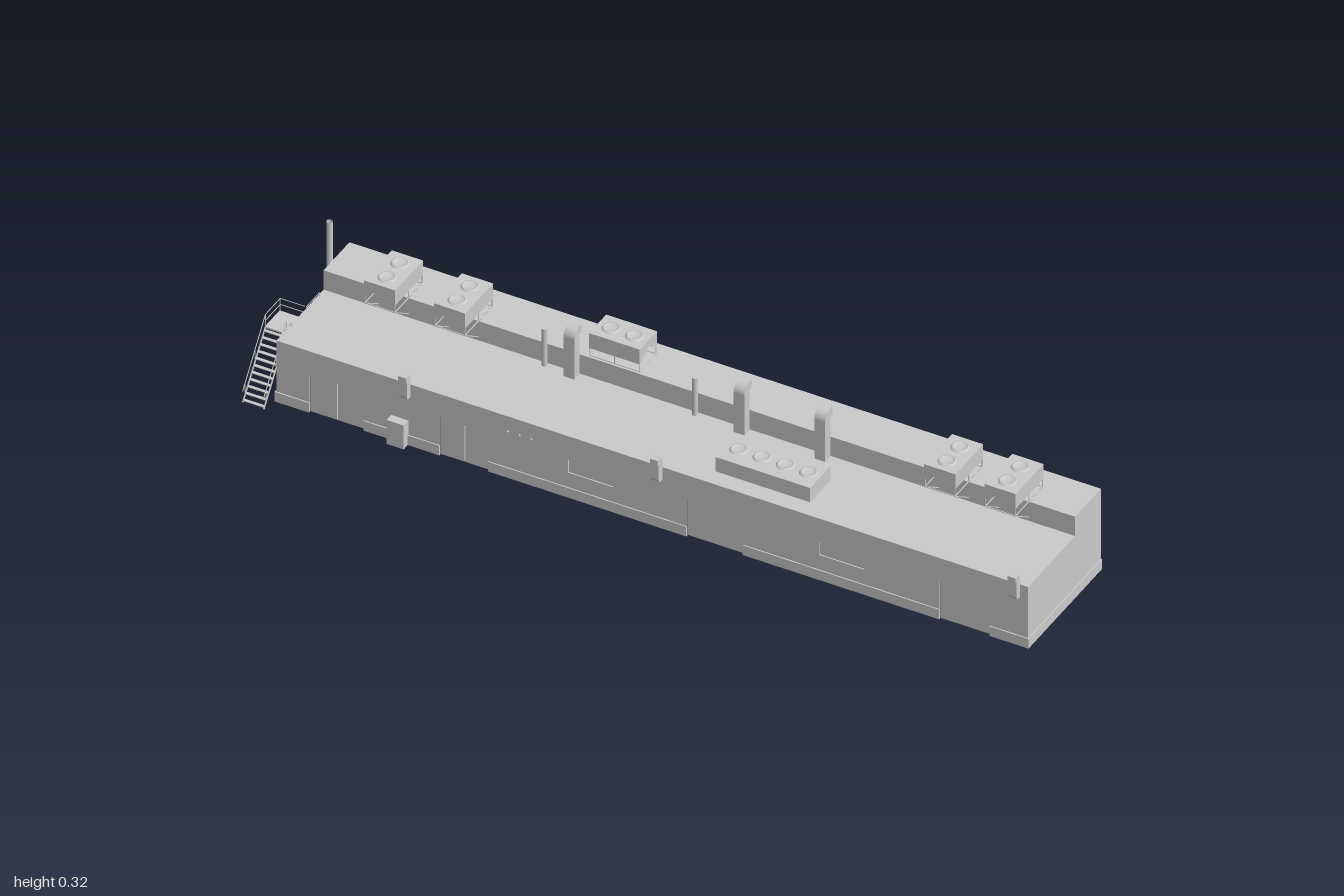
import * as THREE from 'three';

const mat = new THREE.MeshStandardMaterial({ color: 0xcccccc, side: THREE.DoubleSide });
const X0 = -0.935, X1 = 0.997, MID = (X0 + X1) / 2, LEN = X1 - X0;
const BACK = -0.193, FRONT = 0.148, STEP = -0.072, LOW = 0.17, HIGH = 0.224, T = 0.004;

function add(parent, name, geometry, x = 0, y = 0, z = 0) {
  const mesh = new THREE.Mesh(geometry, mat);
  mesh.name = name;
  mesh.position.set(x, y, z);
  parent.add(mesh);
  return mesh;
}

// Box given by its limits on each axis
function box(parent, name, x0, x1, y0, y1, z0, z1) {
  return add(parent, name, new THREE.BoxGeometry(x1 - x0, y1 - y0, z1 - z0),
    (x0 + x1) / 2, (y0 + y1) / 2, (z0 + z1) / 2);
}

// Straight thin bar between two points
function bar(parent, name, a, b, r = 0.0012) {
  const p = new THREE.Vector3(...a), q = new THREE.Vector3(...b), d = q.clone().sub(p);
  const mesh = add(parent, name, new THREE.CylinderGeometry(r, r, d.length(), 6));
  mesh.position.copy(p).add(q).multiplyScalar(0.5);
  mesh.quaternion.setFromUnitVectors(new THREE.Vector3(0, 1, 0), d.normalize());
}

// Side profile drawn in (z, y), extruded along x about its middle
function alongX(shape, depth) {
  return new THREE.ExtrudeGeometry(shape, { depth, bevelEnabled: false, curveSegments: 8 })
    .translate(0, 0, -depth / 2).rotateY(-Math.PI / 2);
}

const polygon = pts => new THREE.Shape(pts.map(p => new THREE.Vector2(...p)));
const rect = (C, x0, x1, y0, y1) => new C([[x0, y0], [x1, y0], [x1, y1], [x0, y1]].map(p => new THREE.Vector2(...p)));

const doors = [[-0.85, -0.71, 2], [-0.515, -0.39, 2], [0.12, 0.265, 1], [0.77, 0.9, 1]];
const windows = [[-0.185, -0.07], [0.46, 0.575]];

function buildHall(root) {
  // Back wall and stepped roof, open below
  add(root, 'roofAndBackWall', alongX(polygon([
    [BACK, 0], [BACK, HIGH], [STEP, HIGH], [STEP, LOW], [FRONT, LOW], [FRONT, LOW - T],
    [STEP - T, LOW - T], [STEP - T, HIGH - T], [BACK + T, HIGH - T], [BACK + T, 0]]), LEN), MID);
  // End walls
  const end = polygon([[BACK, 0], [BACK, HIGH], [STEP, HIGH], [STEP, LOW], [FRONT, LOW], [FRONT, 0]]);
  for (const x of [X0 + T / 2, X1 - T / 2]) add(root, 'endWall', alongX(end, T), x);
  // Front wall with openings
  const corners = [[X0, 0]];
  for (const [a, b] of doors) corners.push([a, 0], [a, 0.105], [b, 0.105], [b, 0]);
  corners.push([X1, 0], [X1, LOW], [X0, LOW]);
  const front = polygon(corners);
  for (const [a, b] of windows) front.holes.push(rect(THREE.Path, a, b, 0.068, 0.105));
  add(root, 'frontWall', new THREE.ExtrudeGeometry(front, { depth: T, bevelEnabled: false }), 0, 0, FRONT - T);

  // Recessed door leaves and window panes
  for (const [a, b, leaves] of doors) {
    const w = (b - a) / leaves;
    for (let i = 0; i < leaves; i++)
      box(root, 'doorLeaf', a + i * w + 0.001, a + (i + 1) * w - 0.001, 0, 0.105, FRONT - 0.008, FRONT - 0.004);
  }
  for (const [a, b] of windows) box(root, 'windowPane', a, b, 0.067, 0.106, FRONT - 0.007, FRONT - 0.003);

  // Plinth between the doors and across both ends
  const edges = [X0 - 0.003, ...doors.flatMap(d => [d[0], d[1]]), X1 + 0.003];
  for (let i = 0; i < edges.length; i += 2)
    box(root, 'plinth', edges[i], edges[i + 1], 0, 0.027, FRONT, FRONT + 0.003);
  box(root, 'endPlinth', X0 - 0.003, X0, 0, 0.027, BACK, FRONT);
  box(root, 'endPlinth', X1, X1 + 0.003, 0, 0.027, BACK, FRONT);

  // Cabinet and small pipe stubs on the front
  box(root, 'cabinet', -0.64, -0.596, 0, 0.067, FRONT, 0.17);
  for (const x of [-0.34, -0.31, -0.28])
    add(root, 'pipeStub', new THREE.CylinderGeometry(0.003, 0.003, 0.008, 8).rotateX(Math.PI / 2), x, 0.128, FRONT);
}

function buildVents(root) {
  // Goosenecks on the front wall
  const neck = new THREE.Shape();
  neck.moveTo(0.146, 0.135).lineTo(0.155, 0.135);
  neck.absarc(0.155, 0.145, 0.01, -Math.PI / 2, 0, false);
  neck.lineTo(0.165, 0.187).lineTo(0.17, 0.187).lineTo(0.17, 0.201).lineTo(0.16, 0.201);
  neck.absarc(0.16, 0.189, 0.012, Math.PI / 2, Math.PI, false);
  for (const x of [-0.6, 0.047, 0.967]) add(root, 'wallVent', alongX(neck, 0.02), x);

  // Square ducts rising against the roof step
  const duct = new THREE.Shape();
  duct.moveTo(-0.071, 0.165).lineTo(-0.046, 0.165).lineTo(-0.046, 0.28);
  duct.absarc(-0.071, 0.28, 0.025, 0, Math.PI / 2, false);
  duct.lineTo(-0.08, 0.305).lineTo(-0.08, 0.282).lineTo(-0.071, 0.282);
  for (const x of [-0.29, 0.147, 0.355]) add(root, 'roofDuct', alongX(duct, 0.028), x);

  // Round vent pipes
  for (const x of [-0.362, 0.025])
    add(root, 'ventPipe', new THREE.CylinderGeometry(0.007, 0.007, 0.108, 12), x, 0.22, -0.063);

  // Exhaust stack on the end wall
  const path = new THREE.CatmullRomCurve3([[X0, 0.108], [-0.942, 0.109], [-0.947, 0.116], [-0.948, 0.13], [-0.948, 0.2], [-0.948, 0.323]]
    .map(([x, y]) => new THREE.Vector3(x, y, -0.124)));
  add(root, 'exhaustStack', new THREE.TubeGeometry(path, 40, 0.0075, 12));
}

const fanProfile = [[0.022, 0], [0.019, 0.004], [0.016, 0.004], [0.015, 0.001], [0.0001, 0.001]]
  .map(p => new THREE.Vector2(...p));
const fan = (parent, x, y, z) => add(parent, 'fanRing', new THREE.LatheGeometry(fanProfile, 20), x, y, z);

// Condenser with a gabled underside; origin on the roof, long axis z
function condenser(name, bracketed) {
  const g = new THREE.Group(), w = 0.04, l = 0.065;
  g.name = name;
  const body = polygon([[-w, 0.022], [-w, 0.064], [w, 0.064], [w, 0.022], [0, 0.046]]);
  add(g, 'condenserBody', new THREE.ExtrudeGeometry(body, { depth: 2 * l, bevelEnabled: false }), 0, 0, -l);
  for (const z of [-0.03, 0.03]) fan(g, 0, 0.064, z);
  for (const s of [-1, 1]) {
    const x = s * (w - 0.0015), e = l - 0.0015;
    for (const z of [-e, 0, e]) bar(g, 'leg', [x, 0, z], [x, 0.024, z], 0.0015);
    bar(g, 'sideBeam', [x, 0.001, -e], [x, 0.001, e], 0.0015);
    bar(g, 'crossBeam', [-w, 0.001, s * e], [w, 0.001, s * e], 0.0015);
    if (bracketed) bar(g, 'brace', [x, 0, e], [x, -0.044, 0.0], 0.0015);
  }
  return g;
}

function buildRoofUnits(root) {
  for (const x of [-0.755, -0.575, 0.685, 0.84]) {
    const unit = condenser('condenser', true);
    unit.position.set(x, HIGH, -0.072);
    root.add(unit);
  }
  const turned = condenser('turnedCondenser', false);
  turned.position.set(-0.19, HIGH, -0.117);
  turned.rotation.y = Math.PI / 2;
  root.add(turned);
  // Long four-fan cooler on the lower roof
  box(root, 'cooler', 0.17, 0.413, LOW, 0.21, 0.009, 0.104);
  for (let i = 0; i < 4; i++) fan(root, 0.202 + i * 0.06, 0.21, 0.054);
}

function buildStairs(root) {
  const xa = -0.998, xb = -0.944, top = 0.145, z0 = 0.192, z1 = 0.085, n = 11;
  box(root, 'landing', -1, X0, top - 0.004, top, 0.015, z1);
  for (let i = 0; i < n; i++) {
    const t = (i + 0.5) / n, z = z0 + (z1 - z0) * t;
    box(root, 'tread', xa, xb, top * t - 0.001, top * t + 0.001, z - 0.004, z + 0.004);
  }
  for (const x of [xa, xb]) {
    bar(root, 'stringer', [x, 0.002, z0 - 0.001], [x, top, z1], 0.002);
    bar(root, 'handrail', [x, 0.033, z0], [x, top + 0.035, z1]);
    for (const t of [0.1, 0.55, 1]) {
      const z = z0 + (z1 - z0) * t;
      bar(root, 'railPost', [x, top * t, z], [x, top * t + 0.035, z]);
    }
  }
  // Landing rails
  for (const y of [0.163, 0.18]) {
    bar(root, 'landingRail', [xa, y, 0.016], [xa, y, z1], 0.001);
    bar(root, 'landingRail', [xa, y, 0.016], [X0, y, 0.016], 0.001);
  }
  bar(root, 'railPost', [xa, top, 0.016], [xa, 0.18, 0.016]);
  // Low rail along the roof end
  const xr = X0 + 0.004;
  for (const [a, b] of [[-0.045, 0.016], [0.085, 0.14]]) {
    bar(root, 'roofRail', [xr, 0.18, a], [xr, 0.18, b], 0.001);
    for (const z of [a, b]) bar(root, 'roofRailPost', [xr, LOW, z], [xr, 0.18, z], 0.001);
  }
}

export function createModel() {
  const root = new THREE.Group();
  root.name = 'industrialHall';
  buildHall(root);
  buildVents(root);
  buildRoofUnits(root);
  buildStairs(root);
  return root;
}
